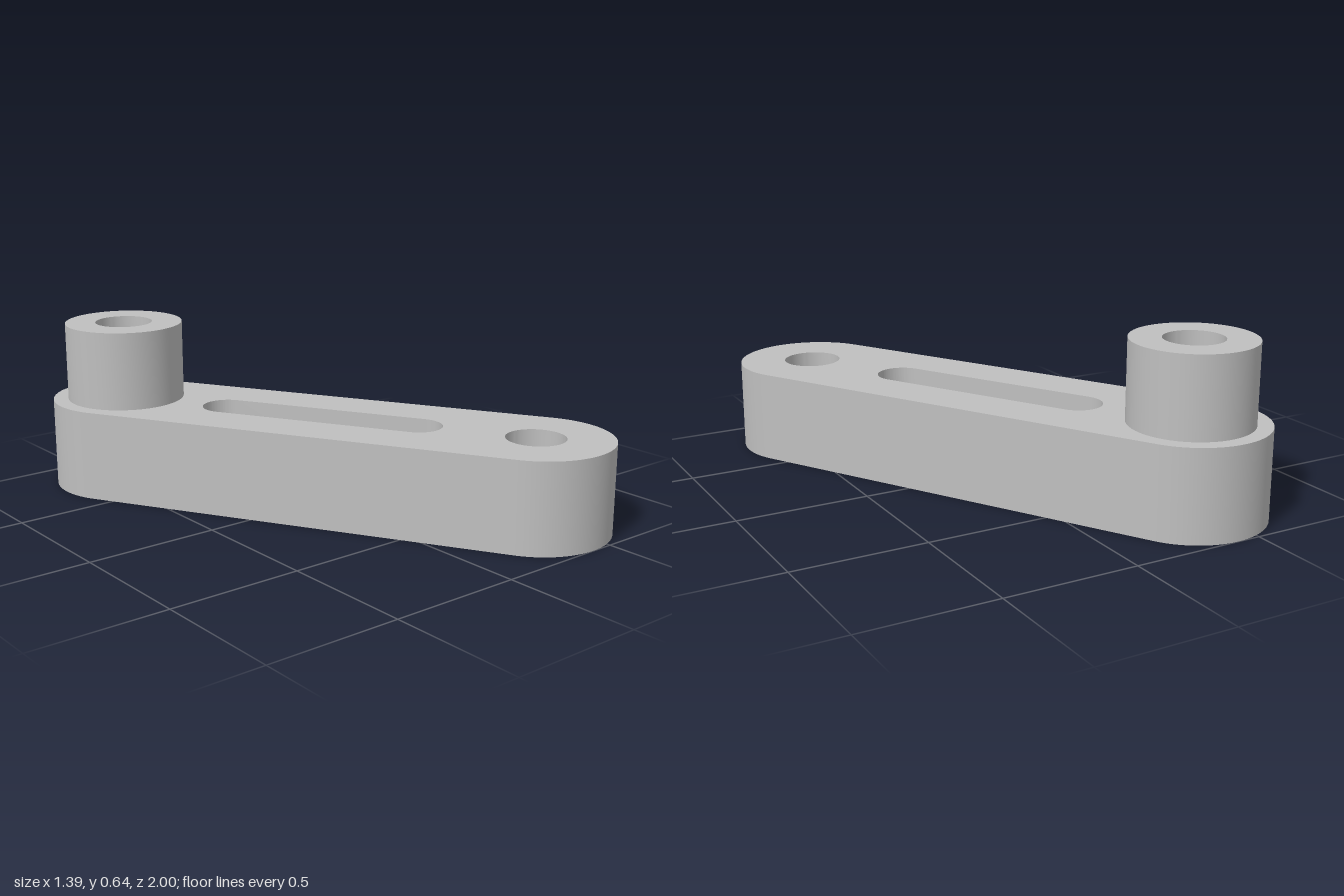
import * as THREE from 'three';
import { toCreasedNormals } from 'three/addons/utils/BufferGeometryUtils.js';

const HALF_SPAN = 0.825; // centre of the arm to each pivot hole
const ARM_RADIUS = 0.285;
const ARM_HEIGHT = 0.343;
const BOSS_RADIUS = 0.227;
const BOSS_HEIGHT = 0.3;
const HOLE_RADIUS = 0.11;
const SLOT_HALF = 0.385;
const SLOT_RADIUS = 0.093;

// Rounded-end outline lying along x
function stadium(path, half, radius) {
  path.absarc(half, 0, radius, -Math.PI / 2, Math.PI / 2, false);
  path.absarc(-half, 0, radius, Math.PI / 2, Math.PI * 1.5, false);
  path.closePath();
  return path;
}

function circle(path, x, radius) {
  return path.absarc(x, 0, radius, 0, Math.PI * 2, false);
}

// Extrude an outline upwards, smooth on the arcs and sharp on the rims
function extrudeUp(shape, depth) {
  const geometry = new THREE.ExtrudeGeometry(shape, { depth, bevelEnabled: false, curveSegments: 32 });
  geometry.rotateX(-Math.PI / 2);
  return toCreasedNormals(geometry, Math.PI / 6);
}

export function createModel() {
  const metal = new THREE.MeshStandardMaterial({ color: 0xbfbfbf });
  metal.name = 'grey metal';

  const model = new THREE.Group();
  model.name = 'slottedLinkArm';

  // Arm with a pivot hole at each end and a slot between them
  const armShape = stadium(new THREE.Shape(), HALF_SPAN, ARM_RADIUS);
  armShape.holes.push(
    circle(new THREE.Path(), -HALF_SPAN, HOLE_RADIUS),
    circle(new THREE.Path(), HALF_SPAN, HOLE_RADIUS),
    stadium(new THREE.Path(), SLOT_HALF, SLOT_RADIUS)
  );
  const arm = new THREE.Mesh(extrudeUp(armShape, ARM_HEIGHT), metal);
  arm.name = 'slottedArm';

  // Hollow boss standing on the rear end
  const bossShape = circle(new THREE.Shape(), -HALF_SPAN, BOSS_RADIUS);
  bossShape.holes.push(circle(new THREE.Path(), -HALF_SPAN, HOLE_RADIUS));
  const boss = new THREE.Mesh(extrudeUp(bossShape, BOSS_HEIGHT), metal);
  boss.name = 'boss';
  boss.position.y = ARM_HEIGHT;

  // The whole link lies diagonally, from back right to front left
  const link = new THREE.Group();
  link.name = 'link';
  link.add(arm, boss);
  link.rotation.y = -Math.PI / 3;
  model.add(link);
  return model;
}
